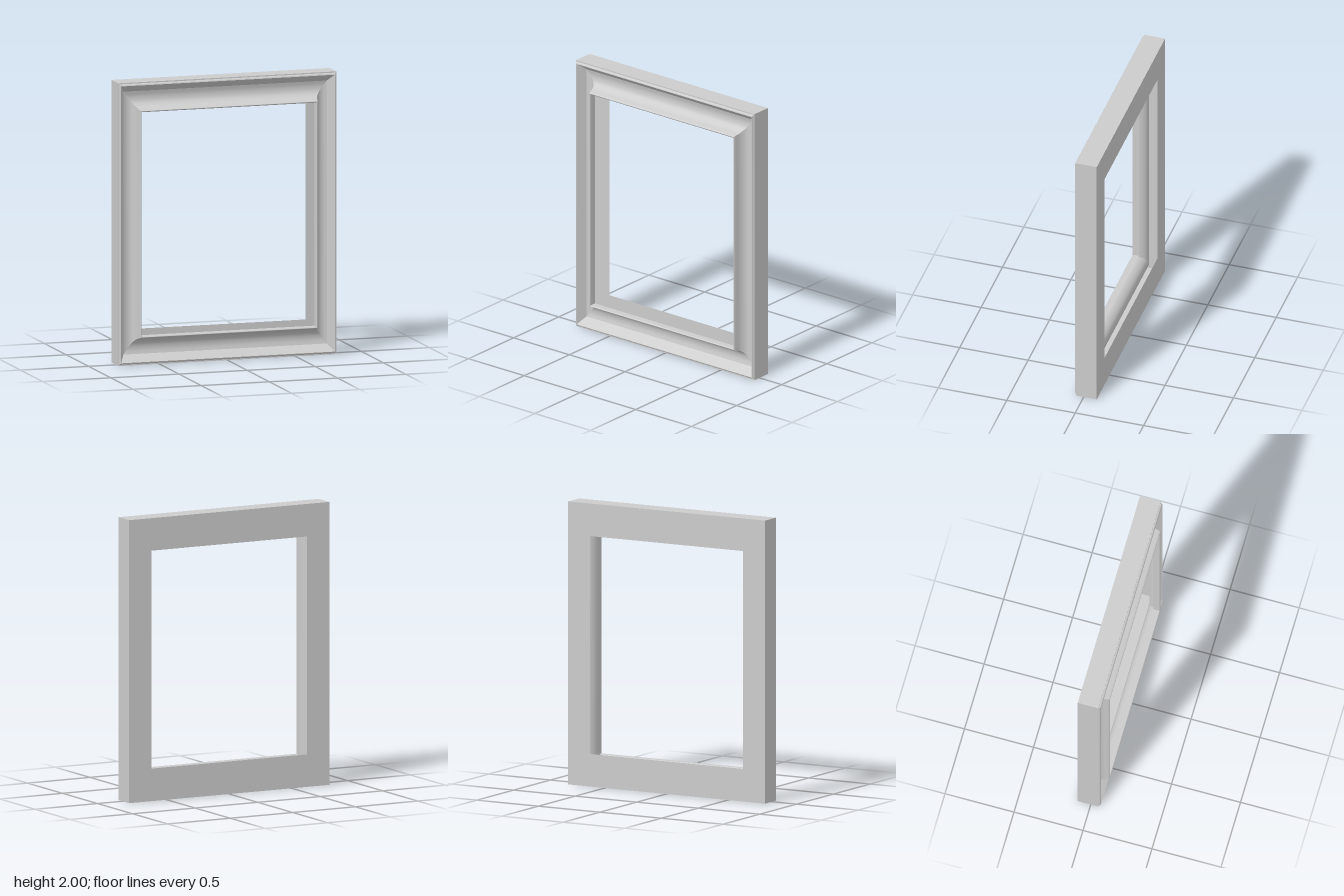
import * as THREE from 'three';

const material = new THREE.MeshStandardMaterial({ color: 0xcccccc, side: THREE.DoubleSide });
const SIDE_RATIO = 0.77; // side rails are narrower than top and bottom rails
const CORNERS = [[1, 1], [-1, 1], [-1, -1], [1, -1]];
const RAILS = ['top', 'right', 'bottom', 'left'];

// Sweeps a profile of [inset, z] points along one mitred rail
function railStrip(profile, k) {
  const positions = [];
  const index = [];
  profile.forEach(([inset, z], i) => {
    for (const [sx, sy] of [CORNERS[k], CORNERS[(k + 1) % 4]]) {
      positions.push(sx * (0.8 - inset * SIDE_RATIO), 1 + sy * (1 - inset), z);
    }
    if (i > 0) {
      const a = 2 * i - 2;
      index.push(a, a + 1, a + 3, a, a + 3, a + 2);
    }
  });
  const geometry = new THREE.BufferGeometry();
  geometry.setAttribute('position', new THREE.Float32BufferAttribute(positions, 3));
  geometry.setIndex(index);
  geometry.computeVertexNormals();
  return geometry;
}

function smooth(points, divisions) {
  const curve = new THREE.SplineCurve(points.map(([x, y]) => new THREE.Vector2(x, y)));
  return curve.getPoints(divisions).map((p) => [p.x, p.y]);
}

export function createModel() {
  const frame = new THREE.Group();
  frame.name = 'pictureFrame';

  // Separate bands keep their shared edges sharp
  const bands = {
    BackPanel: [[0.23, -0.095], [0, -0.095]],
    OuterWall: [[0, -0.095], [0, 0.055]],
    OuterStep: [[0, 0.055], [0.008, 0.055]],
    OuterBead: smooth([[0.008, 0.055], [0.012, 0.066], [0.021, 0.07]], 6),
    InnerSlope: [[0.021, 0.07], [0.07, 0.005]],
    Cove: smooth([[0.07, 0.005], [0.105, -0.002], [0.14, 0.003], [0.165, 0.02],
      [0.182, 0.045], [0.19, 0.075], [0.194, 0.088], [0.2, 0.095], [0.207, 0.09]], 32),
    RimReturn: [[0.207, 0.09], [0.208, 0.045]],
  };

  RAILS.forEach((rail, k) => {
    const group = new THREE.Group();
    group.name = rail + 'Rail';
    for (const [part, profile] of Object.entries(bands)) {
      const mesh = new THREE.Mesh(railStrip(profile, k), material);
      mesh.name = rail + part;
      group.add(mesh);
    }
    frame.add(group);
  });
  return frame;
}
